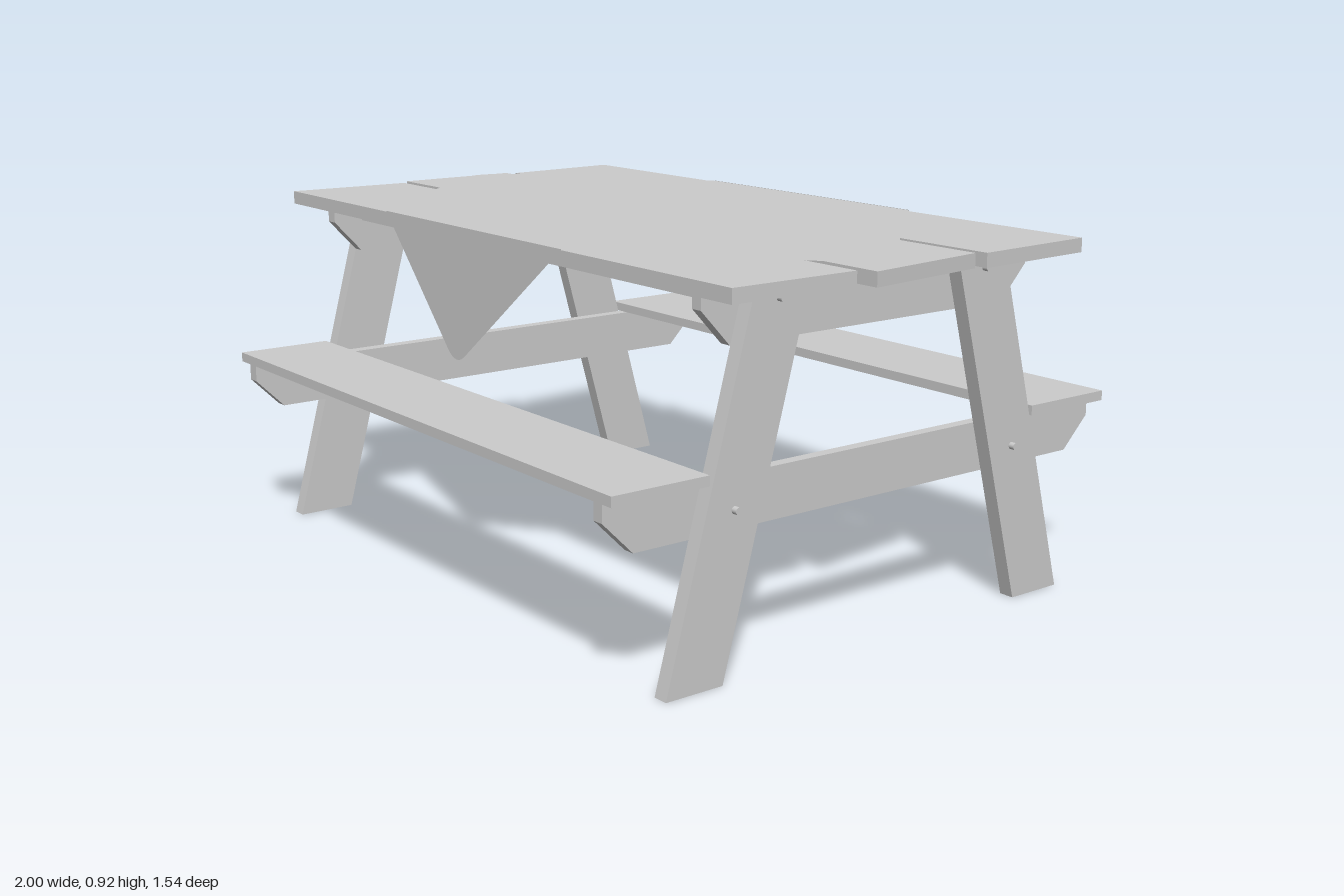
import * as THREE from 'three';

const grey = new THREE.MeshStandardMaterial({ color: 0xcccccc });
const thin = new THREE.MeshStandardMaterial({ color: 0xcccccc, side: THREE.DoubleSide });

export function createModel() {
  const model = new THREE.Group();

  const add = (name, geometry, material = grey) => {
    const mesh = new THREE.Mesh(geometry, material);
    mesh.name = name;
    model.add(mesh);
    return mesh;
  };
  const polygon = (points) => new THREE.Shape(points.map(([a, b]) => new THREE.Vector2(a, b)));

  // Box given by its limits
  const board = (name, x0, x1, y0, y1, z0, z1) =>
    add(name, new THREE.BoxGeometry(x1 - x0, y1 - y0, z1 - z0))
      .position.set((x0 + x1) / 2, (y0 + y1) / 2, (z0 + z1) / 2);

  // Outline in (x, z) raised from y0 to y1
  const slab = (name, points, y0, y1) => {
    const shape = polygon(points.map(([x, z]) => [x, -z]));
    const geometry = new THREE.ExtrudeGeometry(shape, { depth: y1 - y0, bevelEnabled: false });
    add(name, geometry.rotateX(-Math.PI / 2).translate(0, y0, 0));
  };

  // Outline in (z, y) extended from x0 to x1
  const sidePiece = (name, points, x0, x1) => {
    const geometry = new THREE.ExtrudeGeometry(polygon(points), { depth: x1 - x0, bevelEnabled: false });
    add(name, geometry.rotateY(-Math.PI / 2).translate(x1, 0, 0));
  };

  // Table top planks with slightly crooked ends
  slab('backPlank', [[-1, -0.55], [0.95, -0.55], [0.97, -0.2], [-0.98, -0.2]], 0.88, 0.915);
  slab('middlePlank', [[-1, -0.178], [0.955, -0.178], [1, 0.172], [-1, 0.172]], 0.88, 0.915);
  slab('frontPlank', [[-0.97, 0.198], [0.965, 0.198], [0.965, 0.545], [-0.99, 0.545]], 0.88, 0.915);

  // Rails under the planks
  for (const z of [-0.32, 0, 0.32]) board('topRail', -0.825, 0.785, 0.84, 0.88, z - 0.1, z + 0.1);

  // Benches
  board('frontBench', -0.9, 0.855, 0.465, 0.49, 0.51, 0.77);
  board('backBench', -0.9, 0.855, 0.465, 0.49, -0.775, -0.51);

  // Cross beam with chamfered lower corners
  const beam = (name, half, y0, y1, chamferX, chamferY, x0, x1) => sidePiece(name, [
    [-half + chamferX, y0], [half - chamferX, y0], [half, y0 + chamferY],
    [half, y1], [-half, y1], [-half, y0 + chamferY],
  ], x0, x1);

  // End frames: outer legs, inner beams, bolts
  const ends = [
    { legs: [-0.9, -0.86], beams: [-0.86, -0.825], out: -1, outer: -0.9, inner: -0.86 },
    { legs: [0.815, 0.855], beams: [0.785, 0.815], out: 1, outer: 0.855, inner: 0.815 },
  ];
  const bolts = [[-0.32, 0.855], [0, 0.855], [0.32, 0.855], [-0.44, 0.4], [0.44, 0.4]];
  for (const end of ends) {
    for (const s of [-1, 1]) {
      sidePiece('leg', [[s * 0.47, 0], [s * 0.628, 0], [s * 0.39, 0.88], [s * 0.232, 0.88]], ...end.legs);
    }
    beam('tableBeam', 0.505, 0.755, 0.88, 0.08, 0.085, ...end.beams);
    beam('benchBeam', 0.765, 0.34, 0.465, 0.08, 0.08, ...end.beams);
    for (const [z, y] of bolts) {
      const bolt = add('bolt', new THREE.CylinderGeometry(0.009, 0.009, 0.03, 12).rotateZ(Math.PI / 2));
      bolt.position.set((z === 0 ? end.inner : end.outer), y, z);
    }
  }

  // Sharp outline whose marked corners (third value = radius) become curves
  const softShape = (points) => {
    const shape = new THREE.Shape();
    points.forEach(([x, y, r = 0], i) => {
      const p = new THREE.Vector2(x, y);
      const towards = (q) => new THREE.Vector2(q[0] - x, q[1] - y).setLength(r).add(p);
      const a = towards(points[(i + points.length - 1) % points.length]);
      const b = towards(points[(i + 1) % points.length]);
      if (i === 0) shape.moveTo(a.x, a.y); else shape.lineTo(a.x, a.y);
      if (r) shape.quadraticCurveTo(x, y, b.x, b.y);
    });
    return shape;
  };

  // Square cloth laid askew: flat part with two rounded corners
  const clothZ = 0.548, clothY = 0.918;
  const flat = softShape([
    [-0.45, -clothZ], [0.36, -clothZ], [0.965, -0.092, 0.16],
    [0.37, clothZ], [-0.44, clothZ], [-1.045, 0.092, 0.16],
  ]);
  add('clothTop', new THREE.ShapeGeometry(flat, 10).rotateX(-Math.PI / 2).translate(0, clothY, 0), thin);

  // Hanging corners; the back one is the front one turned half round
  const flap = softShape([[-0.45, clothY], [-0.117, clothY - 0.358, 0.055], [0.36, clothY]]);
  add('clothFrontFlap', new THREE.ShapeGeometry(flap, 10).translate(0, 0, clothZ), thin);
  add('clothBackFlap', new THREE.ShapeGeometry(flap, 10).rotateY(Math.PI).translate(-0.08, 0, -clothZ - 0.004), thin);

  return model;
}
